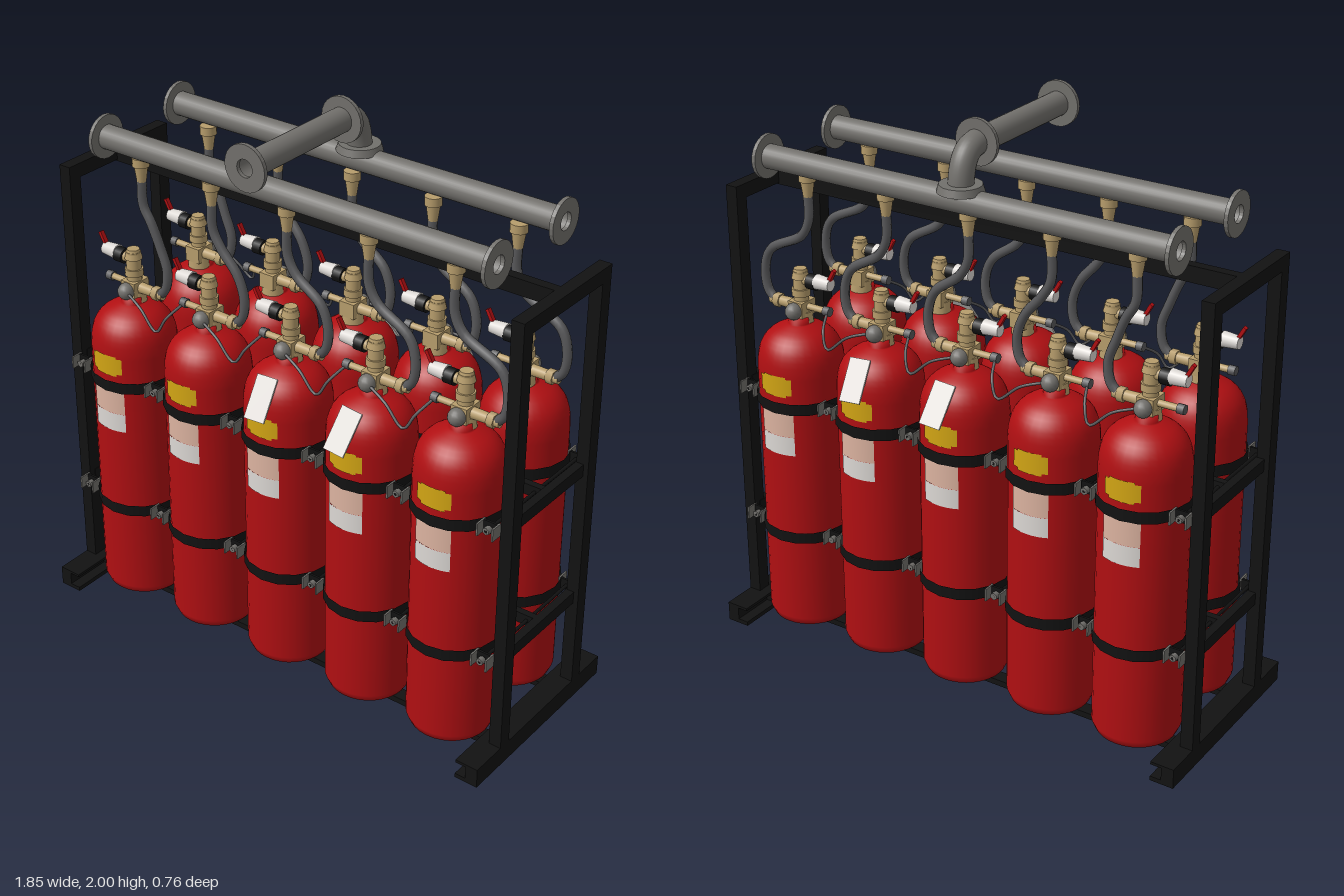
import * as THREE from 'three';

const mat = (name, color, side = THREE.FrontSide) => {
  const m = new THREE.MeshStandardMaterial({ color, side });
  m.name = name;
  return m;
};
const V = (x, y, z) => new THREE.Vector3(x, y, z);

export function createModel() {
  const root = new THREE.Group();
  root.name = 'cylinderRack';
  const red = mat('cylinderRed', 0xb00f12);
  const black = mat('frameBlack', 0x121212, THREE.DoubleSide);
  const grey = mat('pipeGrey', 0x72706c, THREE.DoubleSide);
  const hoseGrey = mat('hoseGrey', 0x58585a);
  const brass = mat('brass', 0xb79d6c);
  const yellow = mat('labelYellow', 0xd2a514, THREE.DoubleSide);
  const white = mat('white', 0xdcd8d4, THREE.DoubleSide);
  const pink = mat('labelPink', 0xdcb3a0, THREE.DoubleSide);

  const add = (parent, name, geo, m, x = 0, y = 0, z = 0) => {
    const mesh = new THREE.Mesh(geo, m);
    mesh.name = name;
    mesh.position.set(x, y, z);
    parent.add(mesh);
    return mesh;
  };
  const box = (p, name, m, w, h, d, x, y, z) => add(p, name, new THREE.BoxGeometry(w, h, d), m, x, y, z);
  // Cylinder along a chosen axis
  const rod = (p, name, m, axis, r1, r2, len, x, y, z, open = false, seg = 16) => {
    const g = new THREE.CylinderGeometry(r1, r2, len, seg, 1, open);
    if (axis === 'x') g.rotateZ(-Math.PI / 2);
    if (axis === 'z') g.rotateX(Math.PI / 2);
    return add(p, name, g, m, x, y, z);
  };
  const tube = (p, name, m, pts, r, seg = 24) =>
    add(p, name, new THREE.TubeGeometry(new THREE.CatmullRomCurve3(pts), seg, r, 8), m);
  // Ring-shaped pipe flange
  const flange = (p, axis, x, y, z, r = 0.076) => {
    const shape = new THREE.Shape().absarc(0, 0, r, 0, Math.PI * 2);
    shape.holes.push(new THREE.Path().absarc(0, 0, 0.03, 0, Math.PI * 2, true));
    const g = new THREE.ExtrudeGeometry(shape, { depth: 0.014, bevelEnabled: false, curveSegments: 12 });
    g.translate(0, 0, -0.007);
    if (axis === 'x') g.rotateY(Math.PI / 2);
    add(p, 'flange', g, grey, x, y, z);
  };

  // ---- Steel rack ----
  const rack = new THREE.Group();
  rack.name = 'rack';
  root.add(rack);
  for (const s of [-1, 1]) {
    box(rack, 'footWeb', black, 0.045, 0.072, 0.75, s * 0.9, 0.036, 0);
    box(rack, 'footPlate', black, 0.085, 0.016, 0.75, s * 0.88, 0.008, 0);
    box(rack, 'footTopPlate', black, 0.085, 0.01, 0.75, s * 0.88, 0.067, 0);
    for (const z of [0.215, -0.225]) box(rack, 'post', black, 0.045, 1.64, 0.05, s * 0.9, 0.82, z);
    box(rack, 'endTopBar', black, 0.045, 0.05, 0.49, s * 0.9, 1.615, -0.005);
    for (const y of [0.415, 0.915]) box(rack, 'endRail', black, 0.03, 0.045, 0.44, s * 0.89, y, -0.005);
  }
  box(rack, 'topBeam', black, 1.8, 0.055, 0.035, 0, 1.612, -0.01);
  for (const y of [0.415, 0.915]) box(rack, 'middleRail', black, 1.78, 0.04, 0.025, 0, y, -0.01);
  for (const z of [0.175, -0.19]) box(rack, 'bottomRail', black, 1.76, 0.022, 0.05, 0, 0.028, z);

  // ---- Cylinders, valves and hoses ----
  const xs = [-0.68, -0.345, 0, 0.34, 0.68];
  const nozzleX = [-0.622, -0.32, -0.01, 0.31, 0.63];
  const gapX = [-0.85, -0.512, -0.172, 0.17, 0.51, 0.85];
  const profile = new THREE.SplineCurve([
    [0.15, 1.02], [0.146, 1.07], [0.131, 1.115], [0.1, 1.15], [0.06, 1.17], [0.038, 1.178],
  ].map(p => new THREE.Vector2(...p))).getPoints(12);
  const bottleGeo = new THREE.LatheGeometry([
    new THREE.Vector2(0, 0.04), new THREE.Vector2(0.115, 0.042), new THREE.Vector2(0.138, 0.052),
    new THREE.Vector2(0.15, 0.08), ...profile, new THREE.Vector2(0.036, 1.2), new THREE.Vector2(0, 1.2),
  ], 32);

  const buildCylinder = (i, s, z) => {
    const g = new THREE.Group();
    g.name = (s > 0 ? 'front' : 'back') + 'Cylinder' + (i + 1);
    g.position.set(xs[i], 0, z);
    root.add(g);
    add(g, 'bottle', bottleGeo, red);

    // Curved labels on the outward face
    const label = (name, m, y, h, half, r = 0.1525) =>
      add(g, name, new THREE.CylinderGeometry(r, r, h, 10, 1, true, (s > 0 ? 0 : Math.PI) - half, half * 2), m, 0, y, 0);
    label('yellowLabel', yellow, 0.995, 0.06, 0.43);
    label('yellowLabelCentre', yellow, 0.995, 0.076, 0.3, 0.153);
    label('pinkLabel', pink, 0.85, 0.085, 0.45);
    label('whiteLabel', white, 0.772, 0.07, 0.45);

    // Straps
    for (const y of [0.415, 0.915])
      add(g, 'strap', new THREE.CylinderGeometry(0.158, 0.158, 0.042, 16, 1, true), black, 0, y, 0);

    // Valve
    const vz = -s * 0.015;
    rod(g, 'valveNeck', brass, 'y', 0.036, 0.04, 0.04, 0, 1.195, vz);
    box(g, 'valveBlock', brass, 0.06, 0.055, 0.075, 0, 1.228, vz);
    rod(g, 'valveStem', brass, 'y', 0.026, 0.026, 0.12, 0, 1.3, vz);
    rod(g, 'valveCap', brass, 'y', 0.022, 0.031, 0.035, 0, 1.352, vz);
    rod(g, 'valveCollar', brass, 'y', 0.032, 0.032, 0.025, 0, 1.285, vz);
    rod(g, 'valveOutlet', brass, 'x', 0.017, 0.02, 0.11, 0.075, 1.23, vz);
    rod(g, 'outletNut', brass, 'x', 0.025, 0.025, 0.025, 0.1, 1.23, vz, false, 6);
    rod(g, 'fillPort', brass, 'x', 0.012, 0.012, 0.08, -0.06, 1.235, vz, false, 10);
    rod(g, 'portCap', hoseGrey, 'x', 0.017, 0.017, 0.025, -0.11, 1.235, vz, false, 8);
    add(g, 'pressureGauge', new THREE.SphereGeometry(0.03, 16, 10), grey, 0, 1.225, vz + s * 0.045);

    // Actuator with lever
    rod(g, 'actuatorFitting', brass, 'x', 0.018, 0.018, 0.04, -0.03, 1.33, vz);
    rod(g, 'actuatorBody', black, 'x', 0.027, 0.027, 0.035, -0.055, 1.33, vz);
    rod(g, 'actuatorHead', white, 'x', 0.027, 0.022, 0.06, -0.1, 1.335, vz);
    const lever = box(g, 'lever', red, 0.012, 0.06, 0.016, -0.132, 1.365, vz);
    lever.rotation.z = 0.5;

    // Discharge hose up to the manifold nipple
    const nx = nozzleX[i] - xs[i];
    tube(g, 'hose', hoseGrey, [
      V(nx, 1.65, -s * 0.012), V(nx + 0.002, 1.55, -s * 0.012), V(nx + 0.035, 1.49, -s * 0.012),
      V(0.125, 1.41, vz), V(0.152, 1.33, vz), V(0.142, 1.26, vz), V(0.115, 1.23, vz),
    ], 0.0165, 32);
    rod(g, 'nipple', brass, 'y', 0.026, 0.016, 0.07, nx, 1.67, -s * 0.012);
    rod(g, 'nippleCollar', brass, 'y', 0.029, 0.029, 0.03, nx, 1.705, -s * 0.012);

    // Pilot line to the next valve
    if (i < 4) {
      const d = xs[i + 1] - xs[i];
      tube(g, 'pilotLine', hoseGrey, [
        V(-0.02, 1.235, s * 0.03), V(0.09, 1.2, s * 0.06), V(d * 0.5, 1.14, s * 0.07),
        V(d - 0.14, 1.19, s * 0.05), V(d - 0.11, 1.235, vz),
      ], 0.005);
    }
    // Hanging tag
    if (i === 2 || i === 3) {
      const tag = box(g, 'hangingTag', white, 0.08, 0.15, 0.006, i === 2 ? 0.005 : -0.005, 1.102, s * 0.148);
      tag.rotation.set(-s * 0.6, 0, i === 2 ? 0.05 : -0.08);
    }
  };

  for (const [s, z] of [[1, 0.175], [-1, -0.19]]) {
    xs.forEach((_, i) => buildCylinder(i, s, z));

    // Tie rods and clamps between the cylinders
    for (const y of [0.415, 0.915]) for (const x of gapX) {
      rod(rack, 'tieRod', black, 'z', 0.006, 0.006, 0.28, x, y, s * 0.14, false, 8);
      rod(rack, 'tieNut', grey, 'z', 0.013, 0.013, 0.02, x, y, s * 0.27, false, 6);
      box(rack, 'clampPlate', black, 0.06, 0.042, 0.008, x, y, s * 0.25);
      for (const e of [-1, 1]) box(rack, 'clampEar', grey, 0.006, 0.045, 0.045, x + e * 0.028, y, s * 0.265);
    }

    // Manifold pipe
    const m = new THREE.Group();
    m.name = s > 0 ? 'frontManifold' : 'backManifold';
    root.add(m);
    const mz = s > 0 ? 0.165 : -0.203;
    rod(m, 'manifoldPipe', grey, 'x', 0.042, 0.042, 1.54, 0, 1.757, mz, true, 24);
    for (const x of [-0.772, 0.772]) flange(m, 'x', x, 1.757, mz);
  }

  // ---- Outlet pipe with elbow ----
  const outlet = new THREE.Group();
  outlet.name = 'outletPipe';
  root.add(outlet);
  rod(outlet, 'outletRun', grey, 'z', 0.042, 0.042, 0.48, 0, 1.922, 0.13, true, 24);
  flange(outlet, 'z', 0, 1.922, 0.368, 0.078);
  flange(outlet, 'z', 0, 1.922, -0.11, 0.078);
  const bend = new THREE.CubicBezierCurve3(
    V(0, 1.922, -0.105), V(0, 1.922, -0.17), V(0, 1.89, -0.203), V(0, 1.77, -0.203));
  add(outlet, 'elbow', new THREE.TubeGeometry(bend, 20, 0.042, 24), grey);
  rod(outlet, 'teeCollar', grey, 'y', 0.07, 0.078, 0.025, 0, 1.8, -0.203, false, 24);

  return root;
}
